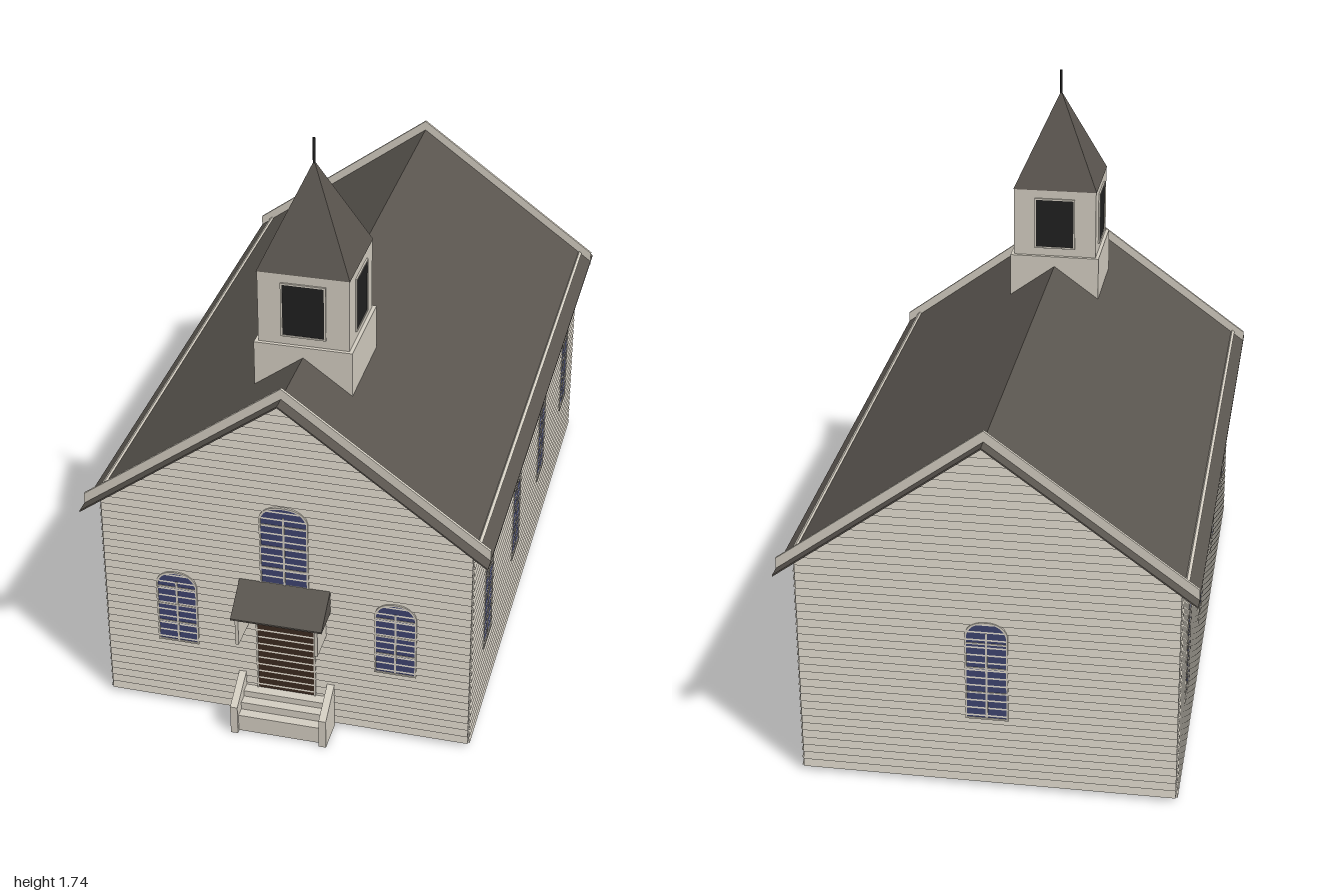
import * as THREE from 'three';

const mat = (name, color, side = THREE.FrontSide) => {
  const m = new THREE.MeshStandardMaterial({ color, side });
  m.name = name;
  return m;
};
const cream = mat('creamPaint', 0xd3cdc1, THREE.DoubleSide);
const slate = mat('roofSlate', 0x5a554f, THREE.DoubleSide);
const navy = mat('navyGlass', 0x3e4470);
const brown = mat('doorBrown', 0x3c2a20);
const black = mat('blackOpening', 0x202020);

// Roof line height at a distance from the ridge
const RIDGE = 1.12, SLOPE = 0.7333, EAVE = 0.6;
const roofY = (x) => RIDGE - SLOPE * Math.abs(x);

function add(parent, name, geometry, material, x = 0, y = 0, z = 0) {
  const m = new THREE.Mesh(geometry, material);
  m.name = name;
  m.position.set(x, y, z);
  parent.add(m);
  return m;
}
const box = (parent, name, material, w, h, d, x, y, z) =>
  add(parent, name, new THREE.BoxGeometry(w, h, d), material, x, y, z);
const poly = (pts) => new THREE.Shape(pts.map(([x, y]) => new THREE.Vector2(x, y)));
const extrude = (shape, depth) =>
  new THREE.ExtrudeGeometry(shape, { depth, bevelEnabled: false, curveSegments: 8 });

// Extrudes a (z, y) profile along x, centred on x = 0
function sideExtrude(pts, width) {
  const g = extrude(poly(pts), width);
  g.rotateY(-Math.PI / 2);
  return g.translate(width / 2, 0, 0);
}

// Inverted V following the roof between two vertical offsets
const chevron = (lo, hi, half) => poly([
  [-half, roofY(half) + lo], [0, RIDGE + lo], [half, roofY(half) + lo],
  [half, roofY(half) + hi], [0, RIDGE + hi], [-half, roofY(half) + hi],
]);

// Outline of an opening with an arched or flat head
function opening({ u, w, y0, y1, arch = true }, grow = 0, Type = THREE.Shape) {
  const h = w / 2 + grow, b = y0 - grow, t = y1 + grow, s = new Type();
  const spring = arch ? t - 0.04 : t;
  s.moveTo(u - h, b);
  s.lineTo(u + h, b);
  s.lineTo(u + h, spring);
  if (arch) s.bezierCurveTo(u + h * 0.85, t - 0.006, u + h * 0.4, t, u, t);
  if (arch) s.bezierCurveTo(u - h * 0.4, t, u - h * 0.85, t - 0.006, u - h, spring);
  else s.lineTo(u - h, t);
  s.closePath();
  return s;
}

// Lapped boards: each course slopes out to a small lip at its lower edge
function siding(halfAt, y0, top, lap = 0.025, lip = 0.006) {
  const pos = [];
  const quad = (a, b, c, d) => pos.push(...a, ...b, ...c, ...a, ...c, ...d);
  for (let y = y0; y < top - 0.003; y += lap) {
    const yt = Math.min(y + lap, top), h0 = halfAt(y), h1 = halfAt(yt);
    quad([-h0, y, lip], [h0, y, lip], [h1, yt, 0.0005], [-h1, yt, 0.0005]);
    quad([-h0, y, 0], [h0, y, 0], [h0, y, lip], [-h0, y, lip]);
  }
  const g = new THREE.BufferGeometry();
  g.setAttribute('position', new THREE.Float32BufferAttribute(pos, 3));
  g.computeVertexNormals();
  return g;
}

const BASE = 0.015, WALL = 0.02;

// One wall in its own plane, facing local +z
function buildWall(name, half, gable, openings) {
  const g = new THREE.Group();
  g.name = name;
  const eave = roofY(0.55) - 0.006, top = gable ? RIDGE - 0.006 : eave;
  const pts = [[-half, BASE], [half, BASE], [half, eave], [-half, eave]];
  if (gable) pts.splice(3, 0, [0, top]);
  const shape = poly(pts);
  openings.forEach((o) => shape.holes.push(opening(o, 0, THREE.Path)));
  add(g, 'wallPanel', extrude(shape, WALL), cream, 0, 0, -WALL);
  const halfAt = (y) => (gable && y > eave ? Math.max(0, (top - y) / SLOPE) : half);
  add(g, 'clapboards', siding(halfAt, BASE, top), cream);

  for (const o of openings) {
    const isDoor = o.arch === false;
    add(g, isDoor ? 'door' : 'windowGlass', extrude(opening(o), 0.015), isDoor ? brown : navy, 0, 0, -0.01);
    const frame = opening(o, 0.005);
    frame.holes.push(opening(o, 0, THREE.Path));
    add(g, isDoor ? 'doorFrame' : 'windowFrame', extrude(frame, 0.008), cream);
    if (isDoor) continue;
    const h = o.y1 - o.y0;
    box(g, 'mullion', cream, 0.006, h - 0.03, 0.003, o.u, o.y0 + h / 2 - 0.015, 0.0055);
    for (const f of [0.27, 0.53, 0.79])
      box(g, 'glazingBar', cream, o.w, 0.005, 0.003, o.u, o.y0 + h * f, 0.0055);
  }
  return g;
}

export function createModel() {
  const model = new THREE.Group();
  model.name = 'chapel';

  // Walls
  const place = (wall, x, z, turn) => {
    wall.position.set(x, 0, z);
    wall.rotation.y = turn;
    model.add(wall);
  };
  const frontZ = 0.895, backZ = -0.945, midZ = -0.025, sideHalf = 0.92;
  place(buildWall('frontWall', 0.55, true, [
    { u: -0.33, w: 0.115, y0: 0.235, y1: 0.475 },
    { u: 0.33, w: 0.115, y0: 0.235, y1: 0.475 },
    { u: 0, w: 0.135, y0: 0.47, y1: 0.755 },
    { u: 0, w: 0.17, y0: 0.105, y1: 0.38, arch: false },
  ]), 0, frontZ, 0);
  place(buildWall('backWall', 0.55, true, [{ u: 0, w: 0.115, y0: 0.235, y1: 0.545 }]), 0, backZ, Math.PI);
  for (const s of [1, -1]) {
    const windows = [0.66, 0.2, -0.26, -0.72].map((z) => (
      { u: -s * (z - midZ), w: 0.11, y0: 0.235, y1: 0.545 }));
    place(buildWall(s > 0 ? 'leftWall' : 'rightWall', sideHalf, false, windows), s * 0.55, midZ, s * Math.PI / 2);
  }

  // Roof with raised trim along gables and eaves
  add(model, 'roof', extrude(chevron(-0.005, 0, EAVE), 1.94), slate, 0, 0, -1);
  for (const z of [0.89, -0.96])
    add(model, 'gableTrim', extrude(chevron(-0.012, 0.032, EAVE), 0.009), cream, 0, 0, z);
  for (const s of [1, -1]) {
    const strip = box(model, 'eaveTrim', cream, 0.01, 0.014, 1.84, s * 0.56, roofY(0.56), midZ);
    strip.rotation.z = -s * Math.atan(SLOPE);
  }

  // Steeple
  const steeple = new THREE.Group();
  steeple.name = 'steeple';
  steeple.position.z = 0.522;
  model.add(steeple);
  const b = 0.145;
  const saddle = poly([[-b, roofY(b)], [0, RIDGE], [b, roofY(b)], [b, 1.153], [-b, 1.153]]);
  add(steeple, 'steepleBase', extrude(saddle, 2 * b), cream, 0, 0, -b);
  box(steeple, 'belfry', cream, 0.268, 0.225, 0.268, 0, 1.264, 0);
  for (let i = 0; i < 4; i++) {
    const side = new THREE.Group();
    side.name = 'belfryOpening';
    side.rotation.y = i * Math.PI / 2;
    steeple.add(side);
    box(side, 'louvre', black, 0.122, 0.16, 0.004, 0, 1.264, 0.135);
    for (const s of [1, -1]) {
      box(side, 'openingJamb', cream, 0.005, 0.17, 0.006, s * 0.0635, 1.264, 0.136);
      box(side, 'openingRail', cream, 0.132, 0.005, 0.006, 0, 1.264 + s * 0.0825, 0.136);
    }
  }
  const spire = new THREE.ConeGeometry(0.136 * Math.SQRT2, 0.295, 4, 1).toNonIndexed();
  spire.rotateY(Math.PI / 4);
  spire.computeVertexNormals();
  add(steeple, 'spire', spire, slate, 0, 1.5235, 0);
  add(steeple, 'finial', new THREE.CylinderGeometry(0.004, 0.004, 0.09, 8), black, 0, 1.695, 0);

  // Door canopy on side brackets
  add(model, 'canopyRoof', sideExtrude([[0.895, 0.415], [1, 0.415], [1, 0.42], [0.895, 0.497]], 0.272), slate);
  for (const s of [1, -1])
    box(model, 'canopyBracket', cream, 0.01, 0.085, 0.1, s * 0.118, 0.3725, 0.948);

  // Entrance steps between sloping cheek walls
  [[0.06, 0.99], [0.085, 0.96], [0.105, 0.93]].forEach(([y, z]) =>
    box(model, 'step', cream, 0.25, y - 0.005, z - 0.895, 0, (y + 0.005) / 2, (z + 0.895) / 2));
  for (const s of [1, -1])
    add(model, 'stepCheek', sideExtrude([[0.895, 0], [1, 0], [1, 0.095], [0.895, 0.155]], 0.022), cream, s * 0.135);

  return model;
}
